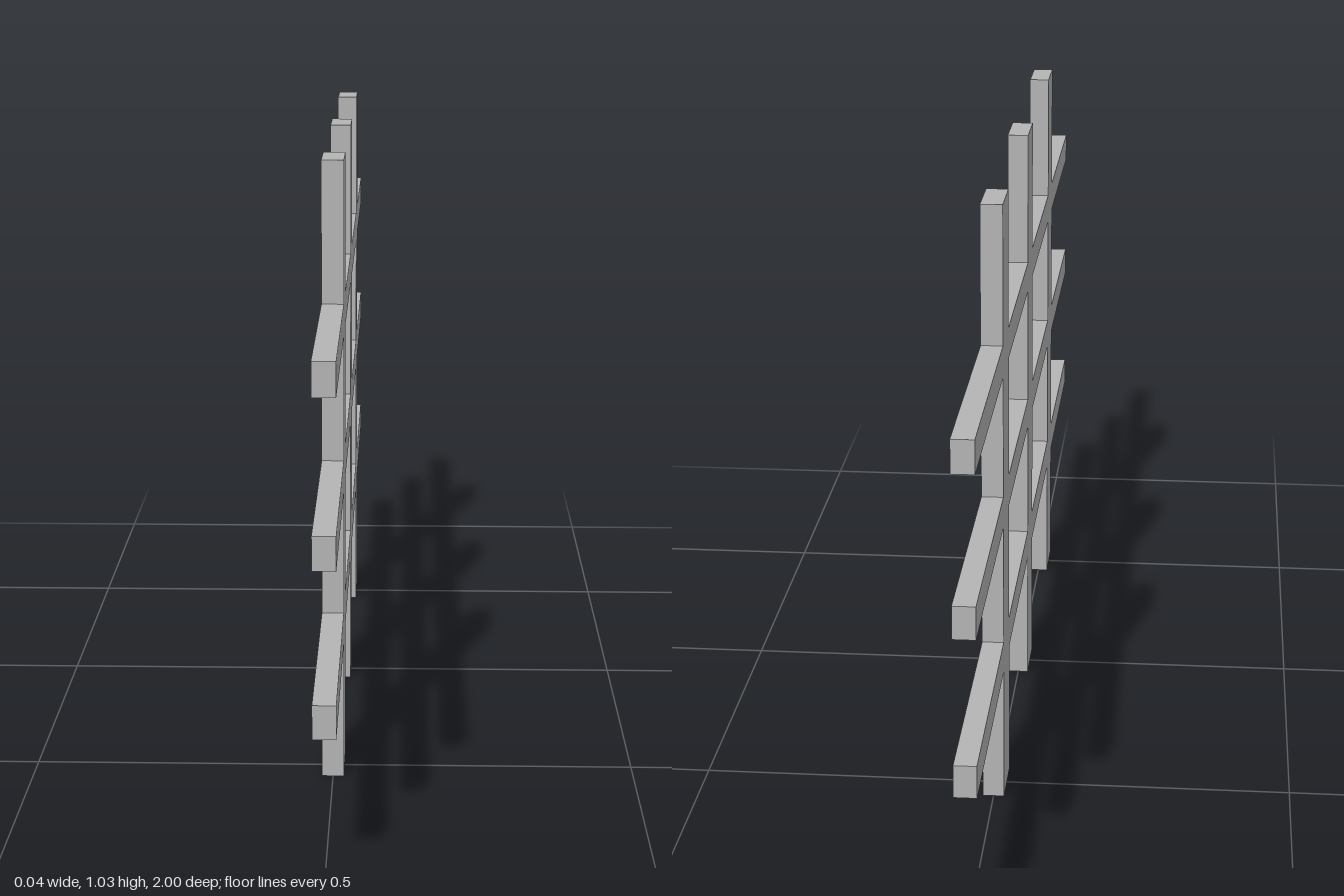
import * as THREE from 'three';

export function createModel() {
  const fence = new THREE.Group();
  fence.name = 'fence';

  const grey = new THREE.MeshStandardMaterial({ color: 0xb4b4b4 });
  grey.name = 'grey';

  const thickness = 0.036;
  const height = 1.03;

  const addBoard = (name, h, length, y, z) => {
    const board = new THREE.Mesh(new THREE.BoxGeometry(thickness, h, length), grey);
    board.name = name;
    board.position.set(0, y, z);
    fence.add(board);
  };

  // Upright posts, spaced along z
  for (const z of [-0.5, 0, 0.5]) addBoard('post', height, 0.104, height / 2, z);

  // Horizontal rails, flush with the posts and spaced evenly in height
  for (const i of [1, 2, 3]) addBoard('rail', 0.053, 2, (height * i) / 4, 0);

  return fence;
}
